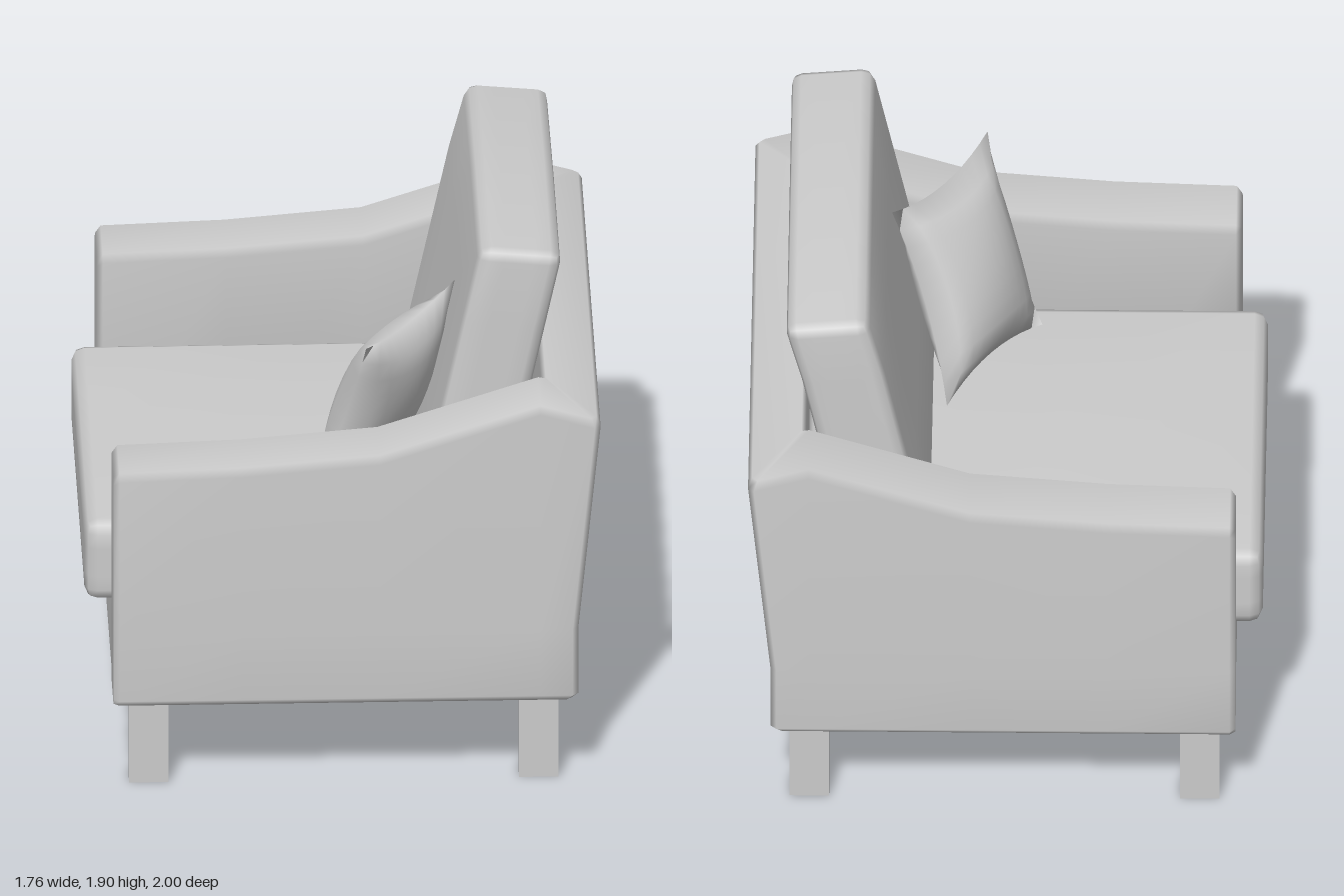
import * as THREE from 'three';
import { mergeVertices } from 'three/addons/utils/BufferGeometryUtils.js';

const material = new THREE.MeshStandardMaterial({ color: 0xcccccc });

// Weld vertices so the shading runs smoothly over the chamfers
function smooth(geometry) {
  geometry.deleteAttribute('normal');
  geometry.deleteAttribute('uv');
  const welded = mergeVertices(geometry, 1e-4);
  welded.computeVertexNormals();
  return welded;
}

// Move every vertex by a rule
function reshape(geometry, rule) {
  const pos = geometry.attributes.position;
  const p = new THREE.Vector3();
  for (let i = 0; i < pos.count; i++) {
    rule(p.fromBufferAttribute(pos, i));
    pos.setXYZ(i, p.x, p.y, p.z);
  }
  return geometry;
}

// Upholstered block: chamfered edges, centred on the origin
function softBox(w, h, d, r) {
  const half = new THREE.Vector3(w / 2, h / 2, d / 2);
  const inner = half.clone().subScalar(r);
  const core = new THREE.Vector3();
  return reshape(new THREE.BoxGeometry(2, 2, 2, 6, 6, 6), p => {
    for (const a of ['x', 'y', 'z']) {
      const t = p[a];
      p[a] = Math.abs(t) > 0.9 ? Math.sign(t) * half[a] : t * 1.5 * inner[a];
    }
    core.copy(p).clamp(inner.clone().negate(), inner);
    p.sub(core).setLength(r).add(core);
  });
}

// Arms and back as one U-shaped sweep of an upright cross-section
function shellGeometry() {
  const lerp = THREE.MathUtils.lerp;
  const c = 0.025;
  // outer x, outer z, inner x, inner z, outer top, inner top
  const side = [
    [-0.79, 0.98, -0.79, 0.75, 1.185, 1.185],
    [-0.77, 1, -0.77, 0.73, 1.205, 1.205],
    [-0.35, 1, -0.35, 0.73, 1.22, 1.22],
    [0.12, 1, 0.12, 0.73, 1.26, 1.26],
    [0.67, 1, 0.67, 0.73, 1.44, 1.44],
    [0.78, 1, 0.68, 0.73, 1.385, 1.44],
    [0.8, 0.98, 0.68, 0.72, 1.385, 1.44],
  ];
  const other = side.map(([ox, oz, ix, iz, ot, it]) => [ox, -oz, ix, -iz, ot, it]).reverse();
  const stations = [...side, ...other];
  const lean = (x, y) => (x > 0.7 ? x + 0.08 * Math.max(0, (y - 0.6) / 0.8) : x);
  const positions = [];
  for (const [ox, oz, ix, iz, ot, it] of stations) {
    const outer = y => [lean(ox, y), y, oz];
    const across = t => [lerp(lean(ox, ot), ix, t), lerp(ot, it, t), lerp(oz, iz, t)];
    const low = across(0.08);
    const inset = [ox > 0.7 ? ox - 0.02 : ox, 0.325, lerp(oz, iz, 0.08)];
    positions.push(
      ...inset, ...outer(0.35), ...outer(0.6), ...outer(ot - c),
      ...low, ...across(0.92), ix, it - c, iz, ix, 0.325, iz);
  }
  const n = 8;
  const last = (stations.length - 1) * n;
  const index = [];
  for (let k = 0; k < stations.length - 1; k++) {
    for (let j = 0; j < n; j++) {
      const a = k * n + j;
      const d = k * n + (j + 1) % n;
      index.push(a, a + n, d + n, a, d + n, d);
    }
  }
  for (let j = 1; j < n - 1; j++) {
    index.push(0, j, j + 1, last, last + j + 1, last + j);
  }
  const geometry = new THREE.BufferGeometry();
  geometry.setAttribute('position', new THREE.Float32BufferAttribute(positions, 3));
  geometry.setIndex(index);
  geometry.computeVertexNormals();
  return geometry;
}

// Throw pillow: puffed in the middle, edges pinched between the corners
function pillowGeometry() {
  const geometry = reshape(new THREE.BoxGeometry(2, 2, 2, 10, 10, 1), p => {
    const fx = 1 - p.x * p.x;
    const fy = 1 - p.y * p.y;
    p.set(p.x * (1 - 0.13 * fy), p.y * (1 - 0.13 * fx), Math.sign(p.z) * 0.125 * Math.pow(fx * fy, 0.55));
  });
  const u = new THREE.Vector3(0.16, 0.01, -0.248);
  const v = new THREE.Vector3(0.095, 0.338, 0.098);
  const w = new THREE.Vector3().crossVectors(u, v).normalize();
  geometry.applyMatrix4(new THREE.Matrix4().makeBasis(u, v, w).setPosition(0.145, 1.245, 0.44));
  return geometry;
}

export function createModel() {
  const model = new THREE.Group();
  model.name = 'armchair';
  const add = (name, geometry) => {
    const mesh = new THREE.Mesh(geometry, material);
    mesh.name = name;
    model.add(mesh);
    return mesh;
  };

  add('armsAndBack', shellGeometry());

  // Seat base between the arms
  add('seatBase', smooth(softBox(1.5, 0.275, 1.7, 0.015))).position.set(-0.038, 0.464, 0);

  // Seat cushion with a slightly crowned top
  const seat = reshape(softBox(1.56, 0.3, 1.43, 0.045), p => {
    if (p.y > 0.14) p.y += 0.02 * Math.max(0, 1 - (p.x / 0.74) ** 2) * Math.max(0, 1 - (p.z / 0.68) ** 2);
  });
  add('seatCushion', smooth(seat)).position.set(-0.1, 0.74, 0);

  // Leaning back cushion, its top sagging toward one end
  const back = reshape(softBox(0.285, 1.02, 1.435, 0.04), p => {
    const y = p.y;
    if (y > 0.3) p.y -= 0.045 * Math.max(0, -p.z / 0.7);
    p.y -= 0.09 * p.x;
    p.x += 0.217 * y;
  });
  add('backCushion', smooth(back)).position.set(0.503, 1.385, 0);

  add('throwPillow', smooth(pillowGeometry()));

  // Four square legs
  for (const x of [-0.667, 0.667]) {
    for (const z of [-0.865, 0.865]) {
      add('leg', new THREE.BoxGeometry(0.135, 0.34, 0.09)).position.set(x, 0.17, z);
    }
  }
  return model;
}
